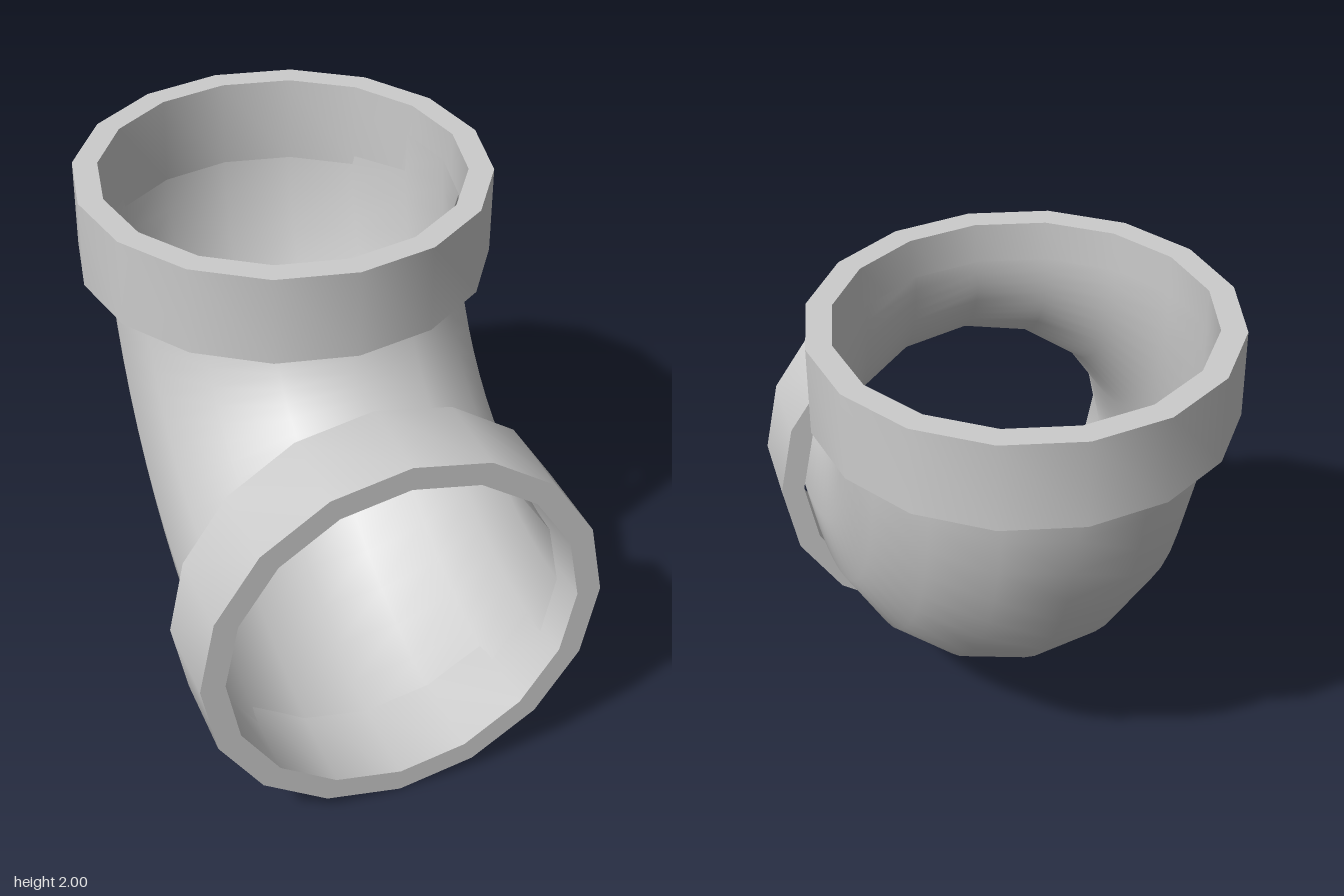
import * as THREE from 'three';
import { toCreasedNormals } from 'three/addons/utils/BufferGeometryUtils.js';

const SIDES = 16;
const COLLAR = { inner: 0.67, outer: 0.762, length: 0.337 };
const BEND = { radius: 1.145, tube: 0.655, y: 1.875, z: 0.87 };

// Square-section ring standing on y = 0, smooth around and sharp at the rims
function collarGeometry() {
  const { inner, outer, length } = COLLAR;
  const profile = [[inner, 0], [outer, 0], [outer, length], [inner, length], [inner, 0]]
    .map(([r, y]) => new THREE.Vector2(r, y));
  return toCreasedNormals(new THREE.LatheGeometry(profile, SIDES), Math.PI / 3);
}

export function createModel() {
  const model = new THREE.Group();
  model.name = 'pipeElbow';
  const material = new THREE.MeshStandardMaterial({ color: 0xcccccc, side: THREE.DoubleSide });

  const add = (name, geometry, y, z) => {
    const mesh = new THREE.Mesh(geometry, material);
    mesh.name = name;
    mesh.position.set(0, y, z);
    model.add(mesh);
  };

  // Open quarter bend, its ends tucked inside the collars
  const bend = new THREE.TorusGeometry(BEND.radius, BEND.tube, SIDES, 16, Math.PI / 2)
    .rotateY(Math.PI / 2)
    .rotateX(-Math.PI / 2);
  add('bend', bend, BEND.y, BEND.z);

  // Socket collars at the two openings
  add('topCollar', collarGeometry(), 2 - COLLAR.length, -0.238);
  add('frontCollar', collarGeometry().rotateX(Math.PI / 2), 0.762, 1 - COLLAR.length);

  return model;
}
